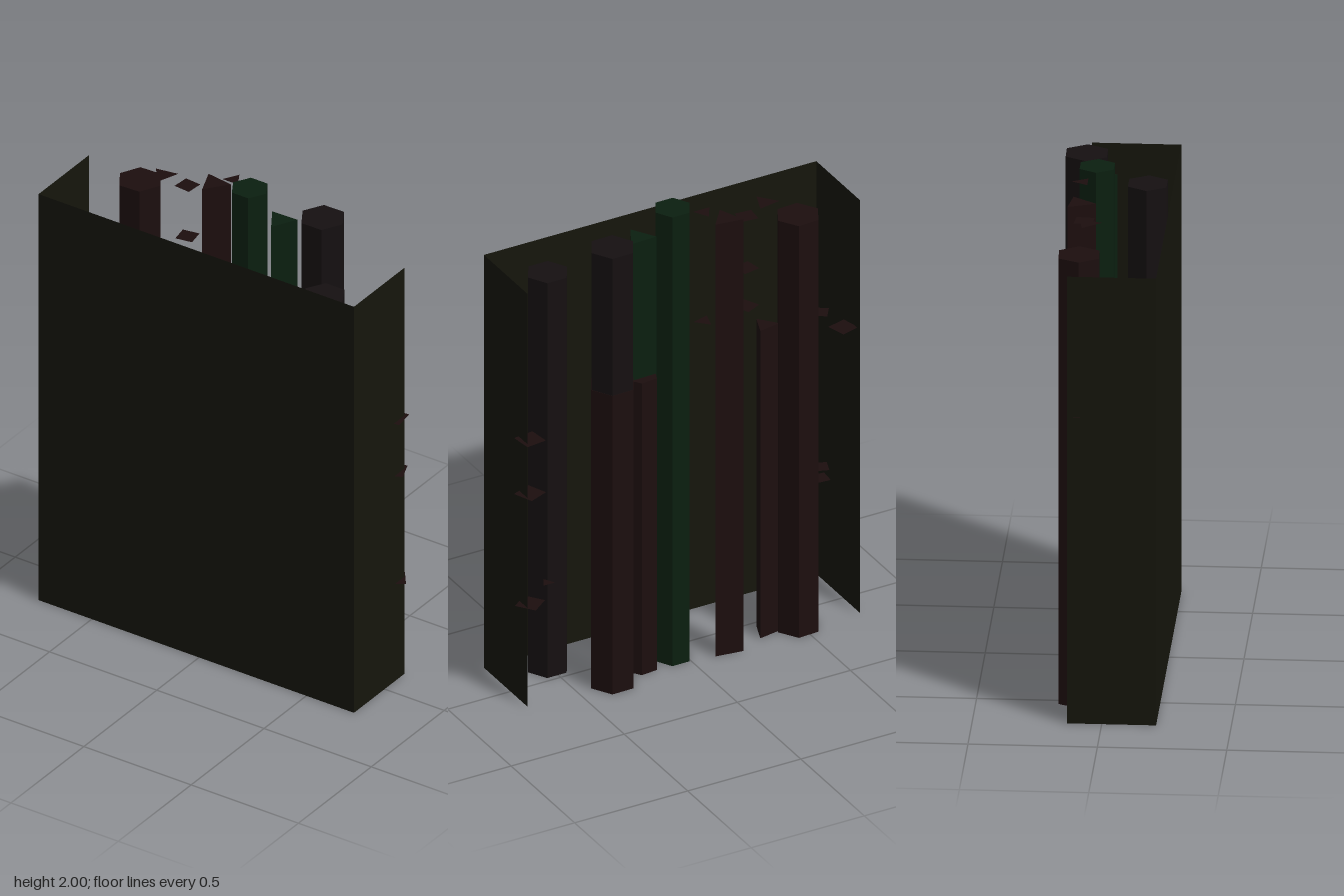
import * as THREE from 'three';

const material = (color) =>
  new THREE.MeshStandardMaterial({ color, side: THREE.DoubleSide, flatShading: true });
const panelMat = material(0x15150c);
const brownMat = material(0x1c0e0e);
const darkMat = material(0x151011);
const greenMat = material(0x0b1f10);

export function createModel() {
  const model = new THREE.Group();
  const add = (name, geometry, mat, x, y, z) => {
    const mesh = new THREE.Mesh(geometry, mat);
    mesh.name = name;
    mesh.position.set(x, y, z);
    model.add(mesh);
    return mesh;
  };

  // Open three-sided screen made of thin panels
  const height = 1.84, left = 0.722, right = -0.748, front = 0.21, back = -0.135;
  add('frontPanel', new THREE.PlaneGeometry(left - right, height), panelMat,
    (left + right) / 2, height / 2, front);
  for (const [name, x, turn] of [['leftPanel', left, 1], ['rightPanel', right, -1]]) {
    add(name, new THREE.PlaneGeometry(front - back, height), panelMat,
      x, height / 2, (front + back) / 2).rotation.y = turn * Math.PI / 2;
  }

  // Upright prisms: x, z, radius, top, sides, turn in degrees, material
  const columns = [
    [-0.49, -0.105, 0.09, 1.835, 6, 33, brownMat],
    [0.045, -0.07, 0.076, 2.0, 6, 30, greenMat],
    [0.19, -0.075, 0.07, 1.3, 6, 36, brownMat],
    [0.19, -0.067, 0.066, 1.91, 3, 2, greenMat],
    [0.345, -0.13, 0.094, 1.33, 6, 31, brownMat],
    [0.345, -0.13, 0.092, 1.94, 6, 31, darkMat],
    [0.505, 0.095, 0.086, 1.76, 6, 30, darkMat],
    [-0.16, -0.127, 0.067, 1.925, 3, -8, brownMat],
    [-0.36, -0.08, 0.055, 1.37, 3, 10, brownMat],
  ];
  for (const [x, z, r, top, sides, turn, mat] of columns) {
    add('column', new THREE.CylinderGeometry(r, r, top, sides), mat, x, top / 2, z)
      .rotation.y = THREE.MathUtils.degToRad(turn);
  }

  // Flat floating chips: x, z, radius, sides, turn in degrees, heights
  const chips = [
    [-0.705, -0.08, 0.058, 4, 60, [1.26]],
    [-0.615, -0.055, 0.045, 4, 10, [1.34, 0.65, 0.6]],
    [-0.36, -0.08, 0.055, 3, -80, [1.915]],
    [-0.265, -0.1, 0.05, 4, 40, [1.89, 1.66, 1.49]],
    [-0.065, -0.12, 0.042, 3, 90, [1.975, 1.49]],
    [0.61, -0.09, 0.03, 3, -90, [0.5]],
    [0.695, -0.105, 0.062, 4, 52, [1.17, 0.93, 0.44]],
  ];
  for (const [x, z, r, sides, turn, heights] of chips) {
    heights.forEach((y, i) => {
      const chip = add('chip', new THREE.CircleGeometry(r, sides), brownMat, x, y, z);
      chip.rotation.set(-Math.PI / 2, 0, THREE.MathUtils.degToRad(turn + i * 15));
    });
  }
  return model;
}
